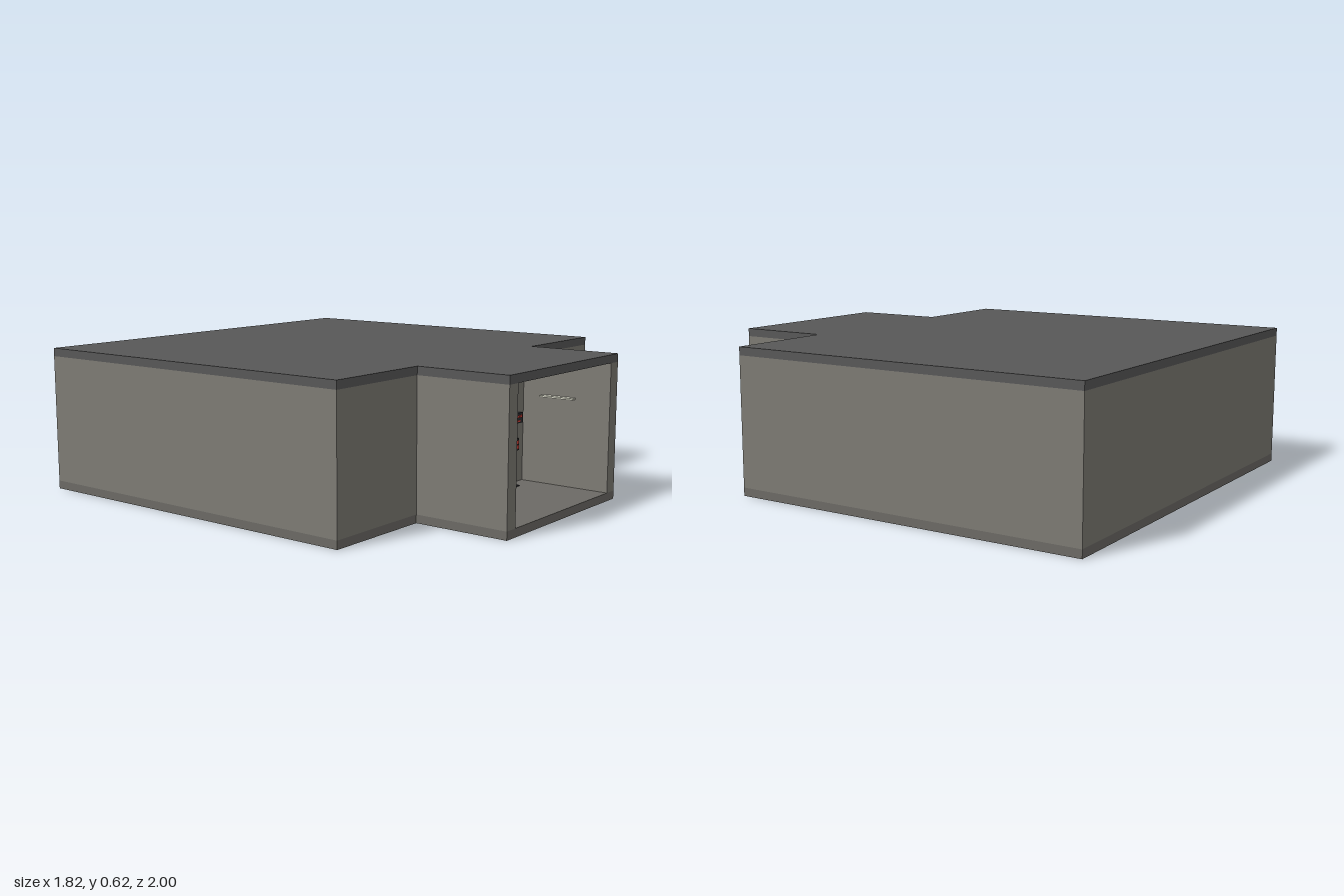
import * as THREE from 'three';

const mat = (color, side = THREE.FrontSide) => new THREE.MeshStandardMaterial({ color, side, roughness: 0.9 });
const M = {
  wall: mat(0x7d7b74), roof: mat(0x585858), floor: mat(0x6c6a65), frame: mat(0x63666a),
  dark: mat(0x2c2e32), steel: mat(0x484c52), seam: mat(0x45474a), yellow: mat(0xd9b92e),
  orange: mat(0xc9782c), red: mat(0xd04038), glass: mat(0xc4d4de), plate: mat(0xa3a39e),
  lamp: mat(0xd8d8c8), jamb: mat(0x3c4a52),
};
const FLOOR = 0.035, CEIL = 0.585;

export function createModel() {
  const root = new THREE.Group();
  const add = (name, geo, m, x = 0, y = 0, z = 0, parent = root) => {
    const mesh = new THREE.Mesh(geo, m);
    mesh.name = name;
    mesh.position.set(x, y, z);
    parent.add(mesh);
    return mesh;
  };
  // Box given by its lower and upper limits
  const box = (name, m, x0, x1, y0, y1, z0, z1, parent = root) =>
    add(name, new THREE.BoxGeometry(x1 - x0, y1 - y0, z1 - z0), m,
      (x0 + x1) / 2, (y0 + y1) / 2, (z0 + z1) / 2, parent);
  const group = (name) => {
    const g = new THREE.Group();
    g.name = name;
    root.add(g);
    return g;
  };
  const polygon = (pts) => new THREE.Shape(pts.map((p) => new THREE.Vector2(...p)));
  const extrude = (shape, depth) => new THREE.ExtrudeGeometry(shape, { depth, bevelEnabled: false });

  // Floor and roof slabs share one T-shaped plan
  const plan = polygon([[-0.91, -0.585], [-0.425, -0.585], [-0.425, -1], [0.425, -1],
    [0.425, -0.585], [0.91, -0.585], [0.91, 1], [-0.91, 1]]);
  const slab = (y0, h) => extrude(plan, h).rotateX(-Math.PI / 2).translate(0, y0, 0);
  add('floorSlab', slab(0, FLOOR), M.floor);
  add('roofSlab', slab(CEIL, 0.62 - CEIL), M.roof);

  // Outer walls of the room and the entrance corridor
  const walls = group('walls');
  box('backWall', M.wall, -0.91, 0.91, FLOOR, CEIL, -1, -0.94, walls);
  for (const s of [-1, 1]) {
    const side = (name, a, b, z0, z1) =>
      box(name, M.wall, Math.min(s * a, s * b), Math.max(s * a, s * b), FLOOR, CEIL, z0, z1, walls);
    side('roomSideWall', 0.85, 0.91, -0.94, 0.525);
    side('corridorWall', 0.365, 0.425, 0.585, 1);
  }
  // Front wall with the doorway cut out
  add('doorWall', extrude(polygon([[-0.91, FLOOR], [-0.22, FLOOR], [-0.22, 0.475], [0.22, 0.475],
    [0.22, FLOOR], [0.91, FLOOR], [0.91, CEIL], [-0.91, CEIL]]), 0.06), M.wall, 0, 0, 0.525, walls);

  // Door frame through the wall, with trim, stripes and threshold
  const door = group('doorFrame');
  add('frame', extrude(polygon([[-0.24, FLOOR], [-0.2, FLOOR], [-0.2, 0.455], [0.2, 0.455],
    [0.2, FLOOR], [0.24, FLOOR], [0.24, 0.5], [-0.24, 0.5]]), 0.12), M.frame, 0, 0, 0.485, door);
  box('headTrim', M.orange, -0.2, 0.2, 0.448, 0.456, 0.55, 0.602, door);
  for (const s of [-1, 1]) {
    box('jambLining', M.jamb, s * 0.198 - 0.003, s * 0.198 + 0.003, FLOOR, 0.45, 0.485, 0.59, door);
    for (const [face, z] of [['front', 0.605], ['rear', 0.482]]) {
      box(face + 'JambBand', M.dark, s * 0.22 - 0.019, s * 0.22 + 0.019, FLOOR, 0.44, z - 0.002, z + 0.002, door)
        .material = M.frame;
      for (let i = 0; i < 8; i++) {
        const y = 0.045 + i * 0.049;
        const stripe = polygon([[s * 0.239, y], [s * 0.201, y + 0.018], [s * 0.201, y + 0.043], [s * 0.239, y + 0.025]]);
        add(face + 'JambStripe', extrude(stripe, 0.006), M.yellow, 0, 0, z - 0.003, door);
      }
    }
  }
  box('rightTrim', M.orange, 0.193, 0.198, FLOOR, 0.45, 0.59, 0.602, door);
  box('threshold', M.plate, -0.2, 0.2, FLOOR, 0.039, 0.5, 0.6, door);

  // Hazard strips lying on the floor
  const floorStripe = (z, half) => {
    const g = group('floorHazardStrip');
    box('stripBase', M.dark, -half, half, FLOOR, 0.04, z - 0.018, z + 0.018, g);
    const n = Math.round(half / 0.03);
    for (let i = 0; i < n; i++) {
      const x = -half + (i * 2 * half) / n + 0.006;
      const shape = polygon([[x, -0.018], [x + 0.028, -0.018], [x + 0.046, 0.018], [x + 0.018, 0.018]]);
      add('stripe', extrude(shape, 0.002).rotateX(-Math.PI / 2), M.yellow, 0, 0.04, z, g);
    }
  };
  floorStripe(0.625, 0.25);
  floorStripe(0.465, 0.24);

  // Control panels beside the door
  const panel = group('controlPanels');
  box('statusPanel', M.dark, 0.25, 0.335, 0.298, 0.342, 0.585, 0.602, panel);
  for (let i = 0; i < 3; i++) box('statusLight', M.red, 0.262 + i * 0.023, 0.277 + i * 0.023, 0.322, 0.333, 0.6, 0.606, panel);
  box('statusBar', M.red, 0.26, 0.31, 0.304, 0.311, 0.6, 0.605, panel);
  box('callPanel', M.dark, 0.28, 0.31, 0.178, 0.23, 0.585, 0.6, panel);
  for (const y of [0.193, 0.215]) box('callButton', M.red, 0.287, 0.303, y - 0.008, y + 0.008, 0.598, 0.605, panel);

  // Lamp strips on the corridor walls
  for (const s of [-1, 1]) {
    box('corridorLamp', M.lamp, s * 0.35 - 0.015, s * 0.35 + 0.015, 0.417, 0.424, 0.68, 0.84);
  }

  // Panel ribs and orange line on the room's walls
  const lining = group('wallLining');
  const band = (name, m, y0, y1, t) => {
    box(name, m, -0.85, 0.85, y0, y1, -0.94, -0.94 + t, lining);
    for (const s of [-1, 1]) box(name, m, s * 0.85 - t, s * 0.85 + t, y0, y1, -0.94, 0.525, lining);
  };
  band('wainscot', M.frame, FLOOR, 0.185, 0.008);
  band('orangeLine', M.orange, 0.185, 0.197, 0.012);
  for (const y of [0.075, 0.112, 0.148]) band('seam', M.seam, y, y + 0.003, 0.01);

  // Floor seams
  for (let i = -3; i <= 3; i++) {
    box('floorSeam', M.seam, i * 0.24 - 0.002, i * 0.24 + 0.002, FLOOR, 0.037, -0.93, 0.44);
    box('floorSeam', M.seam, -0.84, 0.84, FLOOR, 0.0365, i * 0.2 - 0.222, i * 0.2 - 0.218);
  }

  // Central pedestal with a capsule on a striped platform
  const core = group('pedestal');
  core.position.z = -0.2;
  box('platform', M.dark, -0.26, 0.26, FLOOR, 0.068, -0.2, 0.2, core);
  box('platformTop', M.steel, -0.24, 0.24, 0.068, 0.072, -0.18, 0.18, core);
  for (const z of [-0.2, 0.2]) for (const x of [-0.23, -0.145, 0.145, 0.23]) {
    box('platformStripe', M.yellow, x - 0.018, x + 0.018, 0.053, 0.066, z - 0.003, z + 0.003, core);
  }
  box('console', M.steel, -0.085, 0.085, FLOOR, 0.12, -0.1, 0.23, core);
  box('consoleFace', M.dark, -0.055, 0.055, 0.045, 0.1, 0.225, 0.24, core);
  box('consoleLight', M.red, -0.018, 0.018, 0.062, 0.074, 0.238, 0.244, core);
  for (const s of [-1, 1]) {
    box('consolePost', M.dark, s * 0.085 - 0.007, s * 0.085 + 0.007, FLOOR, 0.125, 0.2, 0.245, core);
    box('clamp', M.plate, s * 0.04 - 0.005, s * 0.04 + 0.005, 0.1, 0.125, 0.2, 0.24, core);
  }
  const drum = (name, m, r, y0, y1) =>
    add(name, new THREE.CylinderGeometry(r, r, y1 - y0, 24), m, 0, (y0 + y1) / 2, 0.05, core);
  drum('capsuleBase', M.steel, 0.05, 0.12, 0.2);
  drum('capsuleRing', M.orange, 0.052, 0.145, 0.153);
  drum('capsuleRing', M.dark, 0.053, 0.19, 0.2);
  drum('capsule', M.glass, 0.05, 0.2, 0.3);

  return root;
}
